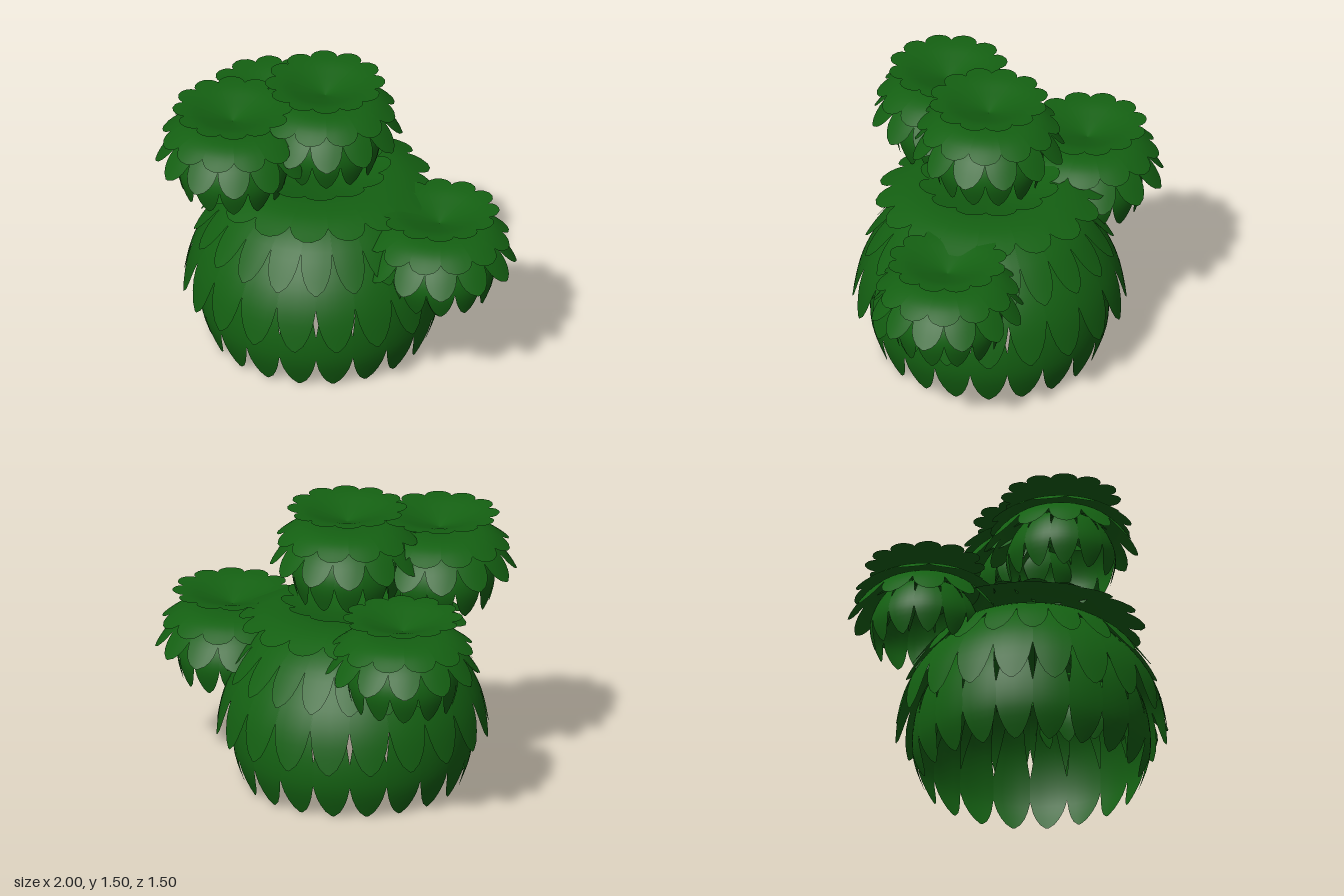
import * as THREE from 'three';

const leafMaterial = new THREE.MeshStandardMaterial({ color: 0x146012, side: THREE.DoubleSide });

// Leaf width along its length (share of its slot): narrow root, full middle, blunt point
const SKIRT = [[0, 0.5], [0.25, 0.75], [0.5, 1.02], [0.7, 1.02], [0.84, 0.8], [0.94, 0.42], [1, 0.08]];
const STAR = [[0, 1], [0.4, 1], [0.82, 1], [0.92, 0.72], [1, 0.2]];

function widthAt(table, t) {
  for (let i = 1; i < table.length; i++) {
    const [t0, w0] = table[i - 1], [t1, w1] = table[i];
    if (t <= t1) return THREE.MathUtils.mapLinear(t, t0, t1, w0, w1);
  }
  return table[table.length - 1][1];
}

// A ring of leaves that follows a root-to-tip profile of [radius, height] points
function leafRing(name, { count, profile, widths = SKIRT, phase = 0 }) {
  const curve = new THREE.SplineCurve(profile.map(([r, y]) => new THREE.Vector2(r, y)));
  const rows = 16, cols = 4;
  const positions = [], indices = [];
  for (let k = 0; k < count; k++) {
    const base = positions.length / 3;
    const middle = ((k + phase) / count) * Math.PI * 2;
    for (let i = 0; i <= rows; i++) {
      const t = i / rows;
      const p = curve.getPoint(t);
      const half = (Math.PI / count) * widthAt(widths, t);
      for (let j = 0; j <= cols; j++) {
        const a = middle + half * ((j / cols) * 2 - 1);
        positions.push(p.x * Math.sin(a), p.y, p.x * Math.cos(a));
      }
    }
    for (let i = 0; i < rows; i++) {
      for (let j = 0; j < cols; j++) {
        const a = base + i * (cols + 1) + j, b = a + cols + 1;
        indices.push(a, b, a + 1, a + 1, b, b + 1);
      }
    }
  }
  const geometry = new THREE.BufferGeometry();
  geometry.setAttribute('position', new THREE.Float32BufferAttribute(positions, 3));
  geometry.setIndex(indices);
  geometry.computeVertexNormals();
  const mesh = new THREE.Mesh(geometry, leafMaterial);
  mesh.name = name;
  return mesh;
}

function leafCluster(name, rings, x, y, z) {
  const group = new THREE.Group();
  group.name = name;
  for (const [ringName, ring] of Object.entries(rings)) group.add(leafRing(ringName, ring));
  group.position.set(x, y, z);
  return group;
}

// Main bush, from the ground skirt up to the crown
const bushRings = {
  groundSkirt: { count: 20, profile: [[0.5, 0.6], [0.58, 0.45], [0.615, 0.3], [0.612, 0.15], [0.56, 0]] },
  middleSkirt: { count: 20, profile: [[0.2, 0.89], [0.42, 0.8], [0.58, 0.64], [0.67, 0.47], [0.71, 0.28]] },
  upperSkirt: { count: 20, phase: 0.5, profile: [[0.05, 0.91], [0.3, 0.89], [0.5, 0.78], [0.65, 0.59]] },
  collar: { count: 16, profile: [[0, 0.9], [0.25, 0.945], [0.43, 0.94], [0.59, 0.88]], widths: STAR },
  crown: { count: 12, profile: [[0, 0.91], [0.18, 0.95], [0.37, 1]], widths: STAR },
};

// Small tufts, measured from their lowest leaf tips
const tuftRings = {
  lowerSkirt: { count: 12, profile: [[0.1, 0.37], [0.2, 0.32], [0.265, 0.22], [0.285, 0.12], [0.255, 0]] },
  upperSkirt: { count: 12, profile: [[0.04, 0.395], [0.2, 0.375], [0.31, 0.3], [0.4, 0.18]] },
  collar: { count: 12, phase: 0.5, profile: [[0, 0.4], [0.18, 0.405], [0.28, 0.38], [0.37, 0.32]], widths: STAR },
  crown: { count: 12, profile: [[0, 0.41], [0.12, 0.45], [0.22, 0.48], [0.31, 0.49]], widths: STAR },
};

export function createModel() {
  const model = new THREE.Group();
  model.name = 'leafyBush';
  model.add(
    leafCluster('mainBush', bushRings, -0.105, 0, 0.015),
    leafCluster('leftTuft', tuftRings, 0.6, 0.43, 0.01),
    leafCluster('topTuft', tuftRings, -0.075, 1.01, 0.01),
    leafCluster('frontRightTuft', tuftRings, -0.435, 0.93, 0.35),
    leafCluster('backRightTuft', tuftRings, -0.6, 0.62, -0.355),
  );
  return model;
}
